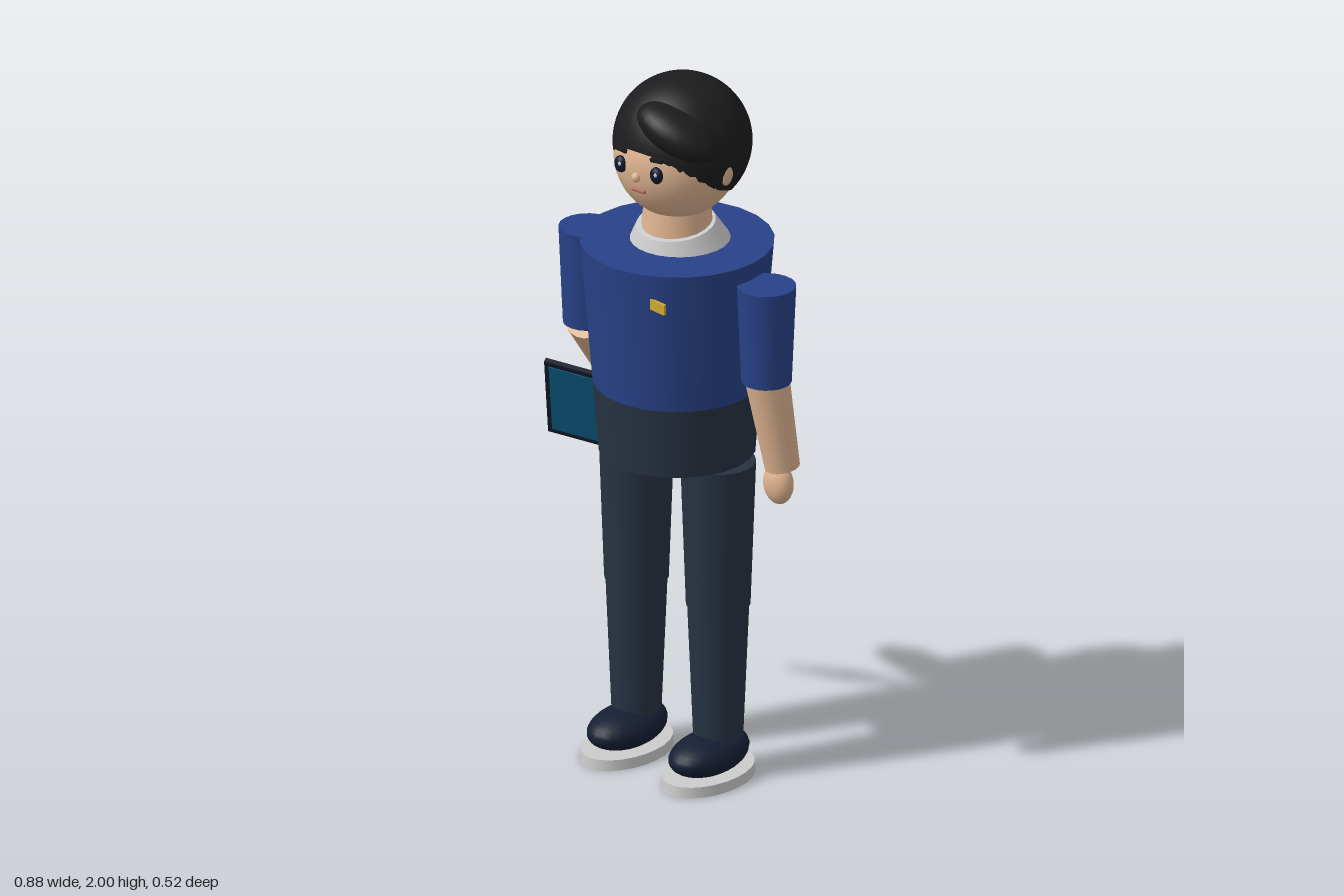
import * as THREE from 'three';

const mat = (color) => new THREE.MeshStandardMaterial({ color });
const M = {
  shirt: mat(0x284288), trousers: mat(0x273242), skin: mat(0xe0b592), hair: mat(0x1c1c1e),
  shoe: mat(0x161e33), white: mat(0xf0f0f0), frame: mat(0x161c2c), screen: mat(0x0c628c),
  gold: mat(0xd0a830), eye: mat(0x10162c), mouth: mat(0xb86a60),
};
M.hair.side = THREE.DoubleSide;
const CX = 0.05; // body axis
const V = (x, y, z) => new THREE.Vector3(x, y, z);

export function createModel() {
  const root = new THREE.Group();

  const add = (name, geometry, material, pos, parent = root) => {
    const m = new THREE.Mesh(geometry, material);
    m.name = name;
    m.position.set(...pos);
    parent.add(m);
    return m;
  };
  // Upright tapered cylinder between two heights
  const taper = (name, material, x, y0, y1, r0, r1, seg = 20) =>
    add(name, new THREE.CylinderGeometry(r1, r0, y1 - y0, seg), material, [x, (y0 + y1) / 2, 0]);
  // Ellipsoid with three radii
  const blob = (name, material, pos, radii, seg = 24) => {
    const m = add(name, new THREE.SphereGeometry(1, seg, Math.round(seg * 0.7)), material, pos);
    m.scale.set(...radii);
    return m;
  };
  // Tapered limb from a to b
  const limb = (name, material, a, b, ra, rb) => {
    const d = b.clone().sub(a);
    const m = add(name, new THREE.CylinderGeometry(rb, ra, d.length(), 20), material,
      a.clone().add(b).multiplyScalar(0.5).toArray());
    m.quaternion.setFromUnitVectors(V(0, 1, 0), d.normalize());
    return m;
  };

  // Torso
  taper('shirt', M.shirt, CX, 1.12, 1.53, 0.228, 0.262, 24);
  taper('waist', M.trousers, CX, 0.92, 1.12, 0.212, 0.228, 24);
  const badge = add('badge', new THREE.BoxGeometry(0.056, 0.03, 0.008), M.gold, [0.178, 1.445, 0.236]);
  badge.rotation.y = -0.15;

  // Neck and collar
  taper('neck', M.skin, CX, 1.54, 1.66, 0.1, 0.088);
  const collar = taper('collar', M.white, CX, 1.5, 1.582, 0.15, 0.108, 24);
  collar.rotation.x = 0.15;

  // Legs and shoes
  for (const s of [-1, 1]) {
    const side = s > 0 ? 'left' : 'right', x = CX + s * 0.142;
    taper(side + 'Thigh', M.trousers, x, 0.5, 0.92, 0.087, 0.102);
    taper(side + 'Shin', M.trousers, x, 0.08, 0.51, 0.066, 0.084);
    blob(side + 'Shoe', M.shoe, [x, 0.075, 0.04], [0.086, 0.055, 0.135]);
    blob(side + 'ShoeHeel', M.shoe, [x, 0.085, 0.0], [0.08, 0.05, 0.09]);
    const sole = taper(side + 'Sole', M.white, x, 0, 0.03, 0.102, 0.1, 24);
    sole.position.z = 0.04;
    sole.scale.z = 1.53;
    taper(side + 'Sleeve', M.shirt, CX + s * 0.31, 1.2, 1.48, 0.068, 0.08);
  }

  // Left arm hangs down, right arm bends backward
  limb('leftForearm', M.skin, V(0.36, 1.23, 0.003), V(0.387, 0.945, -0.034), 0.062, 0.048);
  blob('leftHand', M.skin, [0.385, 0.9, -0.02], [0.046, 0.06, 0.033]);
  limb('rightForearm', M.skin, V(-0.255, 1.215, 0.01), V(-0.325, 1.02, -0.16), 0.062, 0.048);
  const hand = blob('rightHand', M.skin, [-0.338, 0.975, -0.188], [0.042, 0.06, 0.034]);
  hand.quaternion.setFromUnitVectors(V(0, 1, 0), V(0.07, 0.19, 0.17).normalize());

  // Tablet, tilted with the screen forward
  const tablet = new THREE.Group();
  tablet.name = 'tablet';
  const u = V(0.19, -0.025, -0.065).normalize();
  const n = u.clone().cross(V(0.07, 0.26, 0.1)).normalize();
  tablet.quaternion.setFromRotationMatrix(new THREE.Matrix4().makeBasis(u, n.clone().cross(u), n));
  tablet.position.set(-0.313, 0.928, -0.037);
  root.add(tablet);
  add('tabletBody', new THREE.BoxGeometry(0.2, 0.285, 0.014), M.frame, [0, 0, 0], tablet);
  add('tabletScreen', new THREE.BoxGeometry(0.174, 0.252, 0.004), M.screen, [0, 0, 0.007], tablet);

  // Head and ears
  blob('head', M.skin, [CX, 1.785, 0], [0.172, 0.178, 0.172], 32);
  for (const s of [-1, 1]) {
    const side = s > 0 ? 'left' : 'right';
    blob(side + 'Ear', M.skin, [CX + s * 0.17, 1.775, 0], [0.016, 0.042, 0.023], 16);
    blob(side + 'Eye', M.eye, [CX + s * 0.062, 1.787, 0.163], [0.02, 0.024, 0.014], 16);
    blob(side + 'EyeGlint', M.white, [CX + s * 0.062 + 0.006, 1.793, 0.175], [0.005, 0.006, 0.004], 10);
    const brow = add(side + 'Brow', new THREE.BoxGeometry(0.04, 0.01, 0.01), M.hair,
      [CX + s * 0.062, 1.83, 0.162]);
    brow.rotation.z = s * 0.1;
  }
  blob('nose', M.skin, [CX, 1.768, 0.174], [0.013, 0.014, 0.012], 12);
  const mouth = add('mouth', new THREE.CapsuleGeometry(0.006, 0.036, 4, 10), M.mouth, [CX, 1.727, 0.163]);
  mouth.rotation.z = Math.PI / 2;

  // Hair: tilted cap plus a swept fringe
  const cap = add('hair', new THREE.SphereGeometry(0.188, 36, 24, 0, Math.PI * 2, 0, 2.12),
    M.hair, [CX, 1.812, -0.022]);
  cap.rotation.x = -0.38;
  const front = add('fringe', new THREE.SphereGeometry(0.181, 24, 10, Math.PI, Math.PI, 0.6, 1.05),
    M.hair, [CX, 1.787, -0.002]);
  front.rotation.y = Math.PI;
  front.geometry.rotateY(Math.PI);
  const swoop = blob('sweptFringe', M.hair, [0.125, 1.892, 0.085], [0.125, 0.058, 0.082]);
  swoop.rotation.set(0, 0.3, -0.42);

  return root;
}
